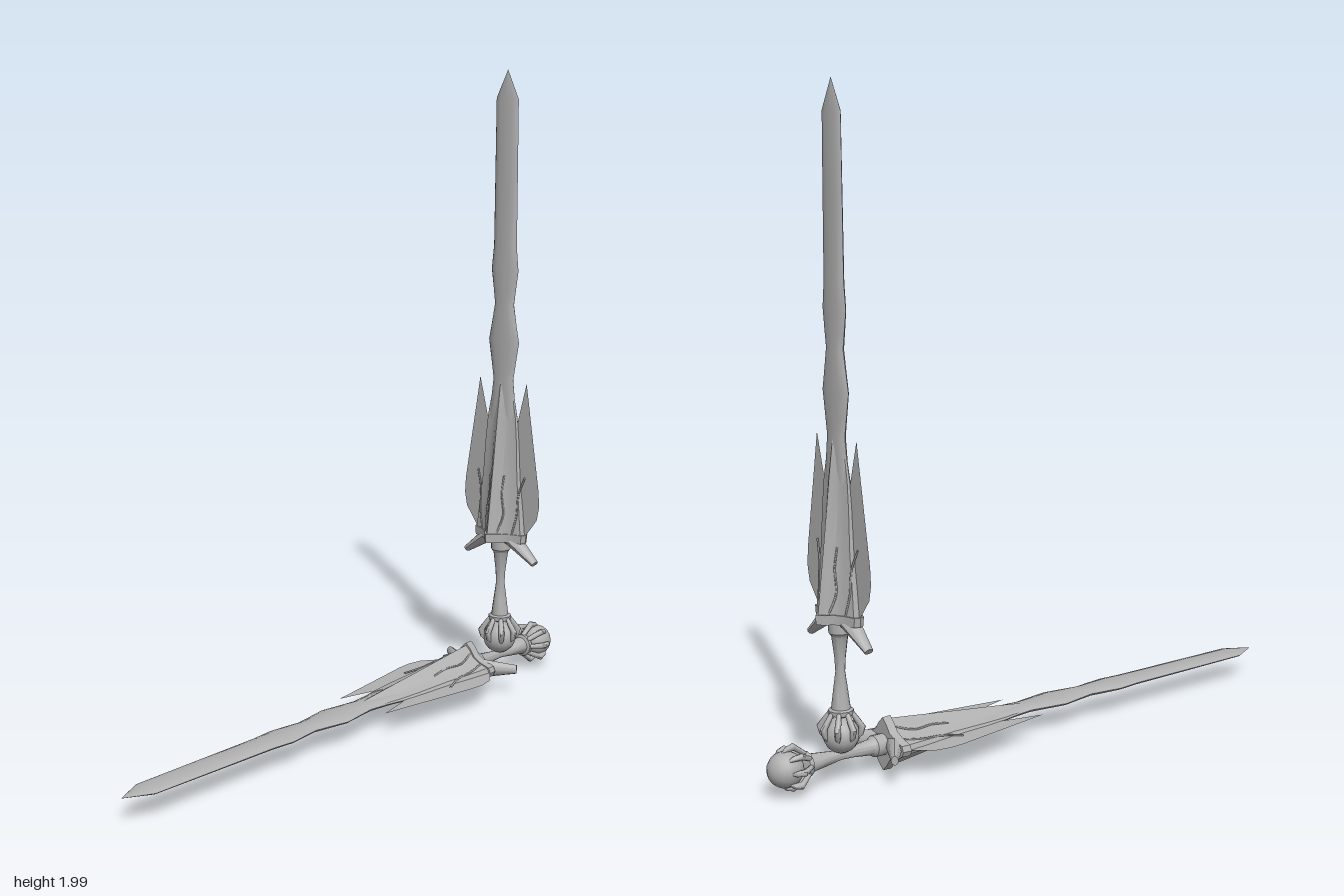
import * as THREE from 'three';
import { toCreasedNormals } from 'three/addons/utils/BufferGeometryUtils.js';

const steel = new THREE.MeshStandardMaterial({ color: 0xb0b0b0, side: THREE.DoubleSide });
steel.name = 'grey steel';

// Mirror a first-quadrant outline, from (1,0) to (0,1), into a full ring
function ring(quarter) {
  const half = [...quarter, ...quarter.slice(0, -1).reverse().map(([x, z]) => [-x, z])];
  return [...half, ...half.slice(1, -1).reverse().map(([x, z]) => [x, -z])];
}
const oval = ring([[1, 0], [0.87, 0.5], [0.5, 0.87], [0, 1]]);
const star = ring([[1, 0], [0.93, 0.2], [0.6, 0.32], [0.34, 0.5], [0.18, 0.78], [0, 1]]);

// Skin rows of [height, half width, half depth] with a given section
function loft(section, rows, crease) {
  const n = section.length, pos = [], index = [];
  for (const [y, w, d] of rows) for (const [x, z] of section) pos.push(x * w, y, z * d);
  for (let i = 0; i < rows.length - 1; i++) {
    for (let j = 0; j < n; j++) {
      const a = i * n + j, b = i * n + (j + 1) % n;
      index.push(a, a + n, b, b, a + n, b + n);
    }
  }
  const g = new THREE.BufferGeometry();
  g.setAttribute('position', new THREE.Float32BufferAttribute(pos, 3));
  g.setIndex(index);
  return toCreasedNormals(g, crease);
}

function tube(points, radius) {
  const curve = new THREE.CatmullRomCurve3(points.map(p => new THREE.Vector3(...p)));
  return new THREE.TubeGeometry(curve, 12, radius, 5);
}

// One sword standing upright, pommel end at y = 0
function createSword() {
  const sword = new THREE.Group();
  const add = (name, geometry) => {
    const mesh = new THREE.Mesh(geometry, steel);
    mesh.name = name;
    sword.add(mesh);
    return mesh;
  };

  // Wavy blade with a pointed tip
  add('blade', loft(oval, [
    [0.78, 0.055, 0.014], [0.84, 0.05, 0.014], [0.92, 0.04, 0.014], [0.98, 0.05, 0.014],
    [1.045, 0.061, 0.014], [1.1, 0.05, 0.014], [1.165, 0.038, 0.014], [1.22, 0.046, 0.014],
    [1.275, 0.054, 0.013], [1.35, 0.046, 0.013], [1.6, 0.045, 0.011], [1.815, 0.044, 0.009],
    [1.905, 0, 0],
  ], 0.7));

  // Ridged body at the foot of the blade
  add('guardBody', loft(star, [
    [0.405, 0, 0], [0.405, 0.098, 0.074], [0.5, 0.088, 0.063], [0.6, 0.075, 0.051],
    [0.72, 0.068, 0.037], [0.8, 0.06, 0.028], [0.92, 0.035, 0.013], [0.96, 0, 0],
  ], 0.5));
  add('guardCollar', loft(star, [
    [0.39, 0, 0], [0.39, 0.1, 0.08], [0.418, 0.103, 0.081], [0.418, 0, 0],
  ], 0.5));

  for (const s of [-1, 1]) {
    const side = s > 0 ? 'left' : 'right';
    // Flat side wings
    const outline = [[0.07, 0.415], [0.1, 0.415], [0.145, 0.475], [0.154, 0.52], [0.151, 0.57],
      [0.095, 0.918], [0.062, 0.79], [0.06, 0.6]];
    add(side + 'Wing', new THREE.ShapeGeometry(
      new THREE.Shape(outline.map(([x, y]) => new THREE.Vector2(s * x, y)))));

    // Horns sweeping back toward the grip
    const horn = new THREE.CylinderGeometry(0.013, 0.03, 0.125, 8);
    horn.scale(0.85, 1, 1.1);
    horn.rotateZ(-s * 2.2);
    horn.translate(s * 0.09, 0.366, 0);
    add(side + 'Horn', toCreasedNormals(horn, 0.9));

    // Flame-like ridges on both faces
    for (const f of [-1, 1]) {
      add(side + 'InnerRidge', tube([[s * 0.02, 0.42, f * 0.05], [s * 0.034, 0.48, f * 0.033],
        [s * 0.025, 0.55, f * 0.031], [s * 0.028, 0.61, f * 0.023]], 0.003));
      add(side + 'OuterRidge', tube([[s * 0.062, 0.42, f * 0.022], [s * 0.075, 0.48, f * 0.016],
        [s * 0.078, 0.55, f * 0.011], [s * 0.097, 0.61, f * 0.003]], 0.003));
    }
  }

  // Waisted grip
  const profile = [[0, 0.1], [0.036, 0.115], [0.037, 0.128], [0.028, 0.132], [0.022, 0.18],
    [0.014, 0.24], [0.016, 0.28], [0.024, 0.345], [0.032, 0.355], [0.032, 0.395], [0, 0.395]];
  add('grip', toCreasedNormals(
    new THREE.LatheGeometry(profile.map(p => new THREE.Vector2(...p)), 12), 0.6));

  // Ball pommel held by claws
  const ball = add('pommel', new THREE.SphereGeometry(0.053, 14, 10));
  ball.position.y = 0.053;
  for (let i = 0; i < 8; i++) {
    const claw = add('pommelClaw', loft(oval, [
      [0, 0, 0], [0.02, 0.008, 0.007], [0.045, 0.01, 0.011], [0.09, 0.007, 0.008], [0.09, 0, 0],
    ], 0.8));
    // Bend each claw around the ball
    const p = claw.geometry.attributes.position;
    for (let k = 0; k < p.count; k++) {
      const t = p.getY(k) / 0.09;
      p.setZ(k, p.getZ(k) + 0.028 + 0.1 * t * (1 - t) + 0.014 * (1 - t));
    }
    claw.geometry = toCreasedNormals(claw.geometry, 0.8);
    claw.position.y = 0.035;
    claw.rotation.y = i * Math.PI / 4;
  }
  return sword;
}

export function createModel() {
  const model = new THREE.Group();
  const upright = createSword();
  upright.name = 'uprightSword';
  upright.position.set(0, 0.095, -0.71);

  const lying = createSword();
  lying.name = 'lyingSword';
  lying.rotation.x = Math.PI / 2;
  lying.position.set(0, 0.088, -0.955);

  model.add(upright, lying);
  return model;
}
